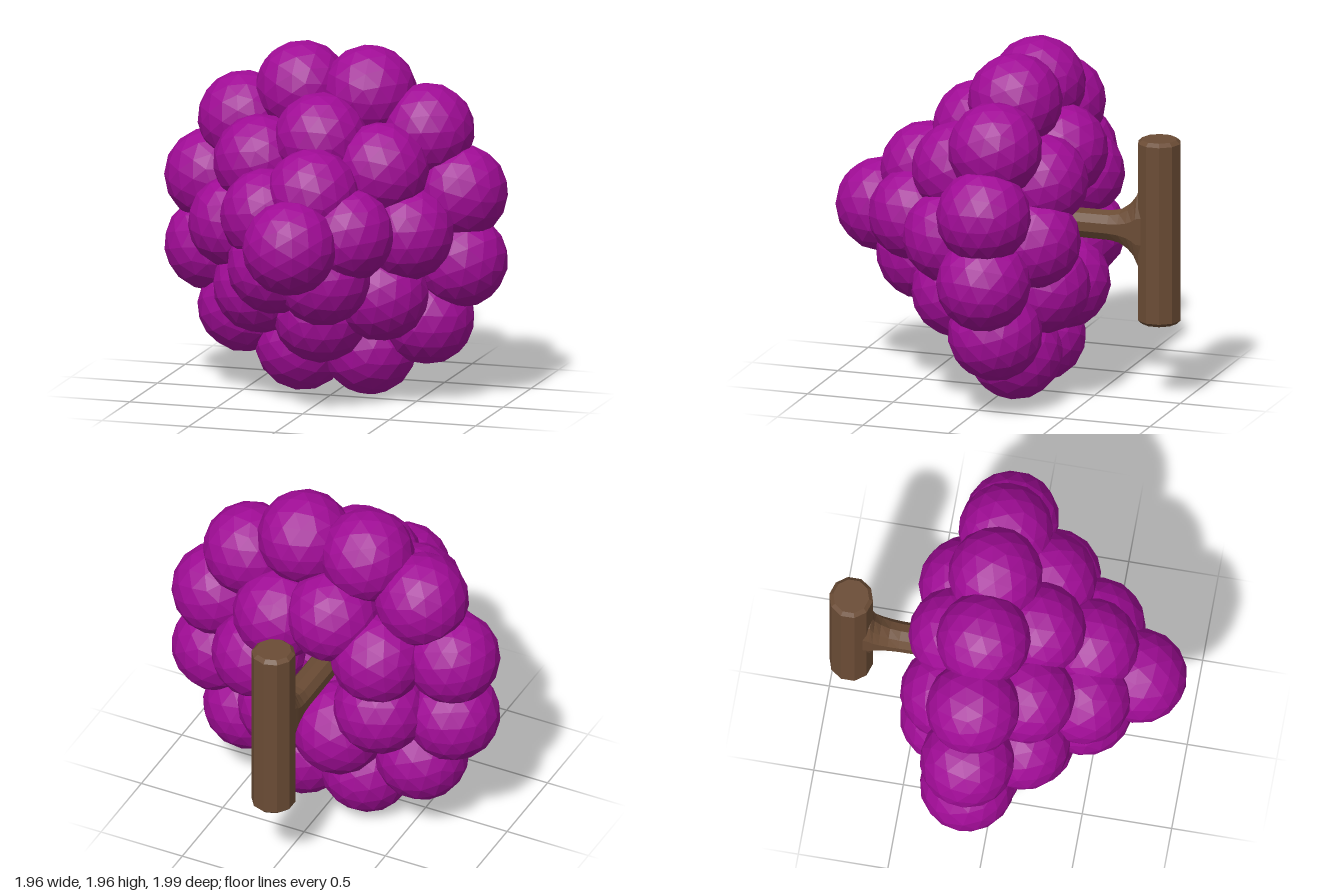
import * as THREE from 'three';

const CY = 0.99; // height of the bunch's axis

export function createModel() {
  const model = new THREE.Group();
  const grapeMat = new THREE.MeshStandardMaterial({ color: 0xa00c96, flatShading: true });
  const woodMat = new THREE.MeshStandardMaterial({ color: 0x6b4c35, flatShading: true });

  // Grapes: rings around the z axis, tip first
  const rings = [
    { name: 'tipGrape', count: 1, radius: 0, z: 0.735, start: 0 },
    { name: 'frontRing', count: 5, radius: 0.245, z: 0.46, start: 80 },
    { name: 'middleRing', count: 8, radius: 0.495, z: 0.17, start: 90 },
    { name: 'widestRing', count: 12, radius: 0.745, z: -0.105, start: 15 },
    { name: 'backRing', count: 7, radius: 0.39, z: -0.28, start: 100 },
  ];
  const grapeGeo = new THREE.IcosahedronGeometry(0.263, 2);
  for (const { name, count, radius, z, start } of rings) {
    const ring = new THREE.Group();
    ring.name = name;
    for (let i = 0; i < count; i++) {
      const a = THREE.MathUtils.degToRad(start + (i * 360) / count);
      const grape = new THREE.Mesh(grapeGeo, grapeMat);
      grape.name = 'grape';
      grape.position.set(radius * Math.cos(a), CY + radius * Math.sin(a), z);
      grape.rotation.set(i * 1.3, i * 0.7, a);
      ring.add(grape);
    }
    model.add(ring);
  }

  // Upright piece of vine with slightly bevelled ends
  const vineProfile = [[0, 0.46], [0.1, 0.46], [0.122, 0.48], [0.122, 1.49], [0.1, 1.51], [0, 1.51]];
  const vine = new THREE.Mesh(
    new THREE.LatheGeometry(vineProfile.map(([r, y]) => new THREE.Vector2(r, y)), 10), woodMat);
  vine.name = 'vine';
  vine.position.z = -0.878;
  model.add(vine);

  // Stem: oval sections [z, half width, half height] flaring into the vine
  const sections = [
    [-0.84, 0.09, 0.26], [-0.765, 0.092, 0.235], [-0.745, 0.092, 0.18], [-0.71, 0.09, 0.135],
    [-0.66, 0.087, 0.1], [-0.6, 0.085, 0.086], [-0.2, 0.083, 0.083],
  ];
  const sides = 10;
  const stemGeo = new THREE.CylinderGeometry(1, 1, 1, sides, sections.length - 1, false);
  const p = stemGeo.attributes.position;
  for (let i = 0; i < p.count; i++) {
    const row = Math.round((p.getY(i) + 0.5) * (sections.length - 1));
    const [z, w, h] = sections[row];
    p.setXYZ(i, p.getX(i) * w, CY - p.getZ(i) * h, z);
  }
  stemGeo.computeVertexNormals();
  const stem = new THREE.Mesh(stemGeo, woodMat);
  stem.name = 'stem';
  model.add(stem);

  return model;
}
